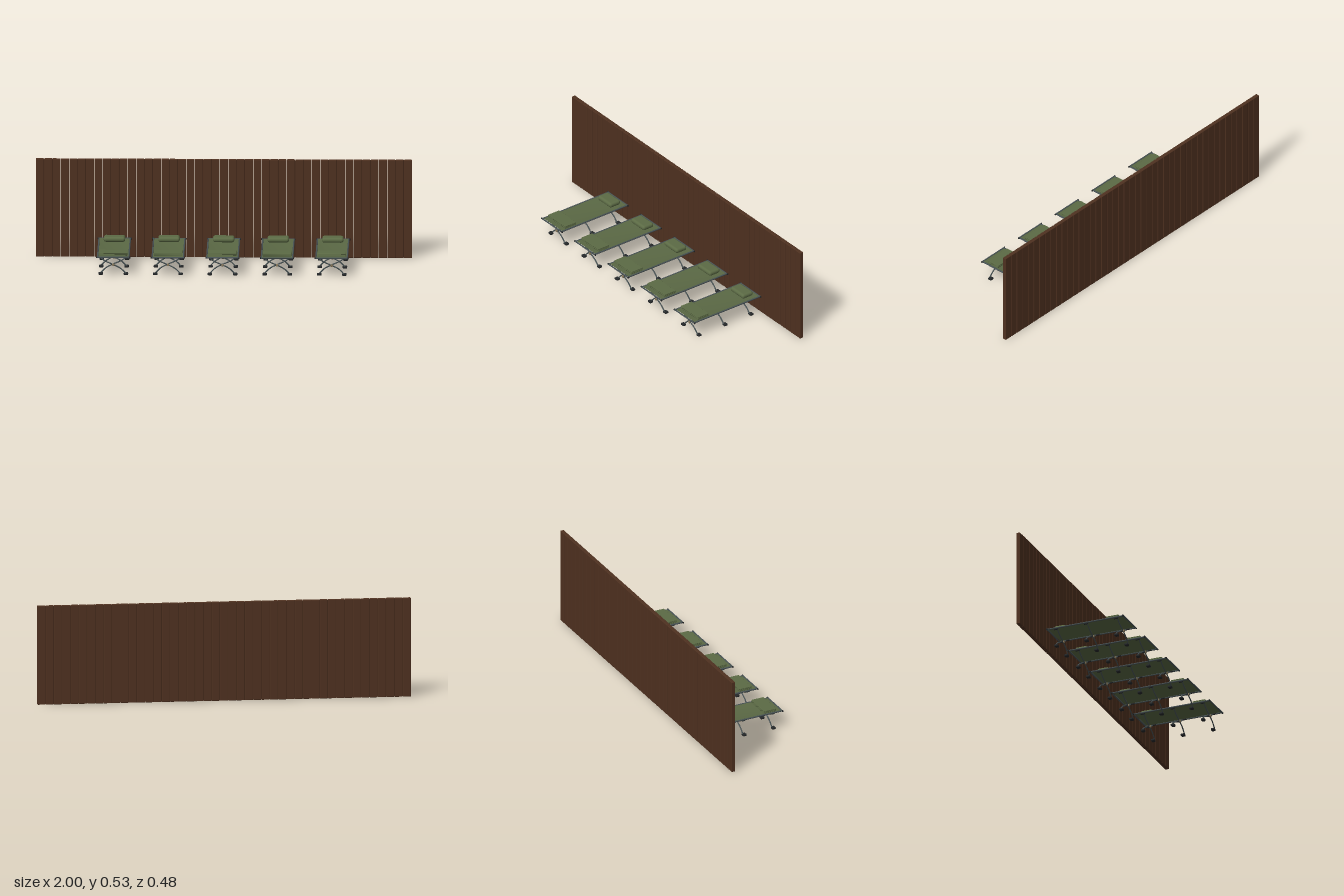
import * as THREE from 'three';
import { RoundedBoxGeometry } from 'three/addons/geometries/RoundedBoxGeometry.js';

const mat = (name, color, side = THREE.FrontSide) => {
  const m = new THREE.MeshStandardMaterial({ color, side });
  m.name = name;
  return m;
};
const wood = mat('brown wood', 0x4f3120);
const canvas = mat('green canvas', 0x5a6844, THREE.DoubleSide);
const cloth = mat('green cloth', 0x5c6b45);
const steel = mat('slate steel', 0x475254);
const rubber = mat('dark rubber', 0x25282a);
const brass = mat('tan clip', 0x8a7a5c);

function add(parent, name, geometry, material, x = 0, y = 0, z = 0) {
  const m = new THREE.Mesh(geometry, material);
  m.name = name;
  m.position.set(x, y, z);
  parent.add(m);
  return m;
}

// Straight round bar along x, y or z
function bar(parent, name, r, length, axis, material, x, y, z) {
  const g = new THREE.CylinderGeometry(r, r, length, 10);
  if (axis === 'x') g.rotateZ(Math.PI / 2);
  if (axis === 'z') g.rotateX(Math.PI / 2);
  return add(parent, name, g, material, x, y, z);
}

// One bowed leg running from a rail, over the pivot, to the opposite foot
function legGeometry(side) {
  const pts = [[-0.076, 0.1], [-0.045, 0.077], [0, 0.057], [0.038, 0.037], [0.066, 0.01]];
  const curve = new THREE.CatmullRomCurve3(pts.map(([x, y]) => new THREE.Vector3(x * side, y, 0)));
  return new THREE.TubeGeometry(curve, 16, 0.0034, 8);
}

function createLegSet() {
  const set = new THREE.Group();
  set.name = 'crossedLegs';
  for (const s of [-1, 1]) {
    add(set, 'leg', legGeometry(s), steel, 0, 0, s * 0.008);
    add(set, 'foot', new RoundedBoxGeometry(0.024, 0.012, 0.021, 2, 0.004), rubber, s * 0.067, 0.006, 0);
    bar(set, 'legBracket', 0.004, 0.022, 'z', rubber, s * 0.076, 0.1, 0);
  }
  bar(set, 'pivot', 0.003, 0.024, 'z', rubber, 0, 0.057, 0);
  add(set, 'pivotClip', new RoundedBoxGeometry(0.012, 0.013, 0.006, 1, 0.002), brass, 0, 0.057, 0.013);
  return set;
}

function createCot() {
  const cot = new THREE.Group();
  cot.name = 'cot';

  // Sagging canvas bed
  const bed = new THREE.PlaneGeometry(0.166, 0.43, 12, 16).rotateX(-Math.PI / 2);
  const p = bed.attributes.position;
  for (let i = 0; i < p.count; i++) {
    const u = p.getX(i) / 0.083, v = p.getZ(i) / 0.215;
    p.setY(i, 0.106 - 0.007 * (1 - u * u) * (1 - v * v));
  }
  bed.computeVertexNormals();
  add(cot, 'canvasBed', bed, canvas, 0, 0, 0.013);

  // Tubular frame
  for (const s of [-1, 1]) {
    bar(cot, 'sideRail', 0.0042, 0.445, 'z', steel, s * 0.083, 0.104, 0.013);
    bar(cot, 'endRail', 0.004, 0.176, 'x', steel, 0, 0.104, 0.0135 + s * 0.22);
    for (const e of [-1, 1])
      bar(cot, 'railCap', 0.0045, 0.006, 'x', rubber, s * 0.088, 0.104, 0.0135 + e * 0.22);
  }

  // Three crossed leg sets
  for (const z of [0.189, 0.015, -0.158]) {
    const legs = createLegSet();
    legs.position.z = z;
    cot.add(legs);
  }

  // Pillow and folded blanket
  add(cot, 'pillow', new RoundedBoxGeometry(0.114, 0.027, 0.07, 5, 0.0125), cloth, 0, 0.1185, -0.148);
  for (let i = 0; i < 3; i++)
    add(cot, 'blanketFold', new RoundedBoxGeometry(0.15, 0.0055, 0.073, 2, 0.0018), cloth, 0, 0.1085 + i * 0.0052, 0.166);
  return cot;
}

export function createModel() {
  const model = new THREE.Group();
  model.name = 'cotsByWall';

  // Plank wall
  const wall = new THREE.Group();
  wall.name = 'plankWall';
  const count = 45, pitch = 2 / count;
  const plank = new RoundedBoxGeometry(pitch - 0.0015, 0.533, 0.021, 2, 0.003);
  for (let i = 0; i < count; i++)
    add(wall, 'plank', plank, wood, -1 + pitch * (i + 0.5), 0.2665, -0.229);
  model.add(wall);

  // Row of cots
  for (let i = -2; i <= 2; i++) {
    const cot = createCot();
    cot.position.x = i * 0.29;
    model.add(cot);
  }
  return model;
}
